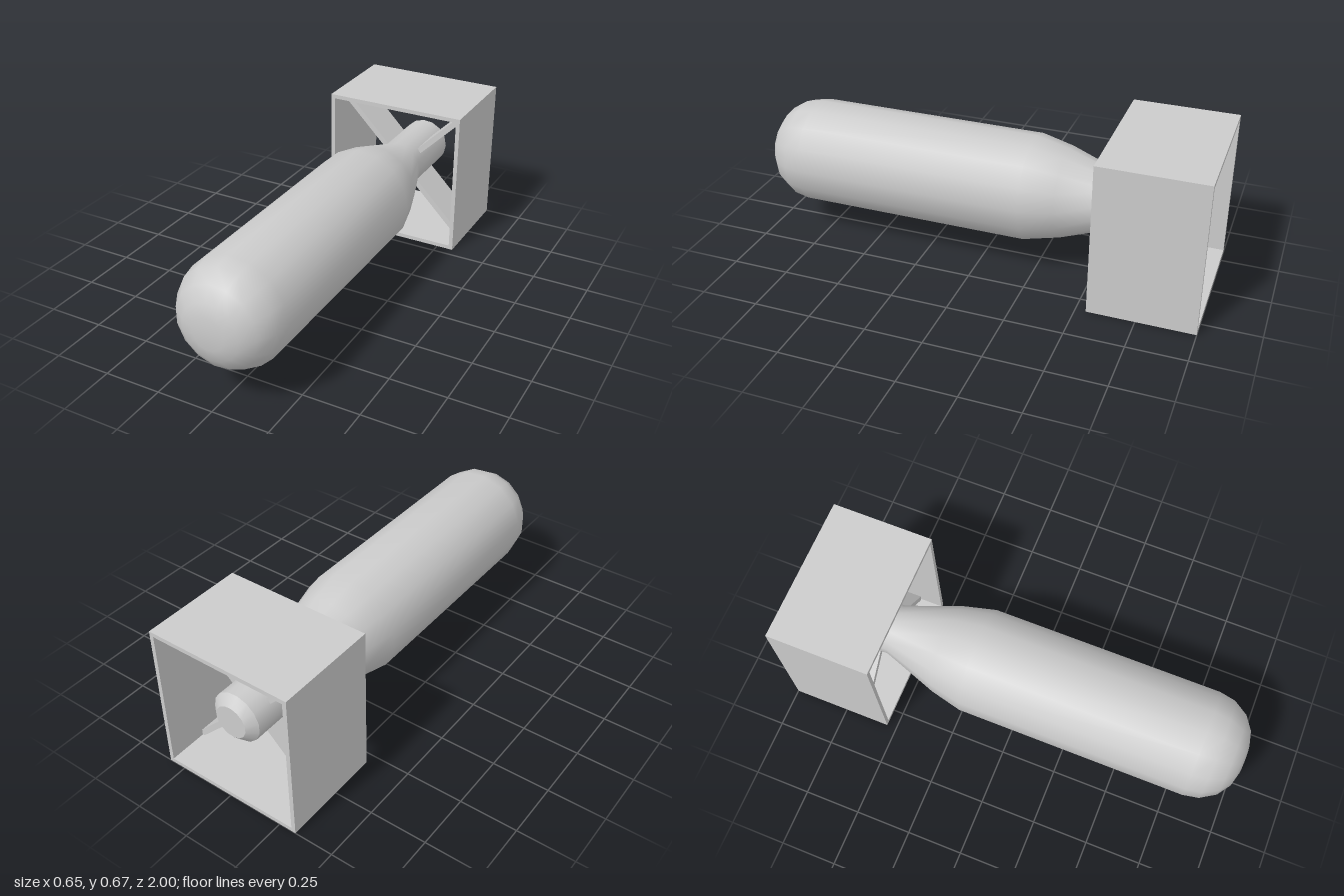
import * as THREE from 'three';
import { toCreasedNormals } from 'three/addons/utils/BufferGeometryUtils.js';

const material = new THREE.MeshStandardMaterial({ color: 0xcccccc });

function addMesh(parent, name, geometry) {
  const mesh = new THREE.Mesh(geometry, material);
  mesh.name = name;
  parent.add(mesh);
  return mesh;
}

// Turned shape along z from [z, radius] pairs, back to front
function turned(profile) {
  const points = profile.map(([z, r]) => new THREE.Vector2(r, z));
  const geometry = new THREE.LatheGeometry(points, 15, Math.PI / 2);
  geometry.rotateX(Math.PI / 2);
  return toCreasedNormals(geometry, 0.55);
}

export function createModel() {
  const group = new THREE.Group();
  const axisY = 0.353;

  // Casing: chamfered tail tube, tapered rear, straight barrel, blunt rounded nose
  const casing = addMesh(group, 'casing', turned([
    [-0.95, 0], [-0.95, 0.073], [-0.915, 0.113], [-0.6, 0.113],
    [-0.35, 0.2], [-0.21, 0.233], [0.81, 0.233], [0.88, 0.22],
    [0.945, 0.18], [0.985, 0.125], [1, 0.07], [1, 0],
  ]));
  casing.position.set(0.005, axisY, 0);

  // Square tail shroud, open at both ends
  const tail = new THREE.Group();
  tail.name = 'tailAssembly';
  tail.position.y = 0.3365;
  group.add(tail);

  const square = (w, h, Path) => new Path([
    new THREE.Vector2(-w, -h), new THREE.Vector2(w, -h),
    new THREE.Vector2(w, h), new THREE.Vector2(-w, h),
  ]);
  const outline = square(0.3275, 0.3365, THREE.Shape);
  outline.holes.push(square(0.309, 0.318, THREE.Path));
  const shroud = addMesh(tail, 'tailShroud',
    new THREE.ExtrudeGeometry(outline, { depth: 0.455, bevelEnabled: false }));
  shroud.position.z = -1;

  // Four diagonal plates joining the tail tube to the shroud corners
  for (let i = 0; i < 4; i++) {
    const angle = Math.PI / 4 + i * Math.PI / 2;
    const strut = addMesh(tail, 'tailStrut' + (i + 1), new THREE.BoxGeometry(0.38, 0.026, 0.18));
    strut.position.set(Math.cos(angle) * 0.25, Math.sin(angle) * 0.25, -0.74);
    strut.rotation.z = angle;
  }
  return group;
}
